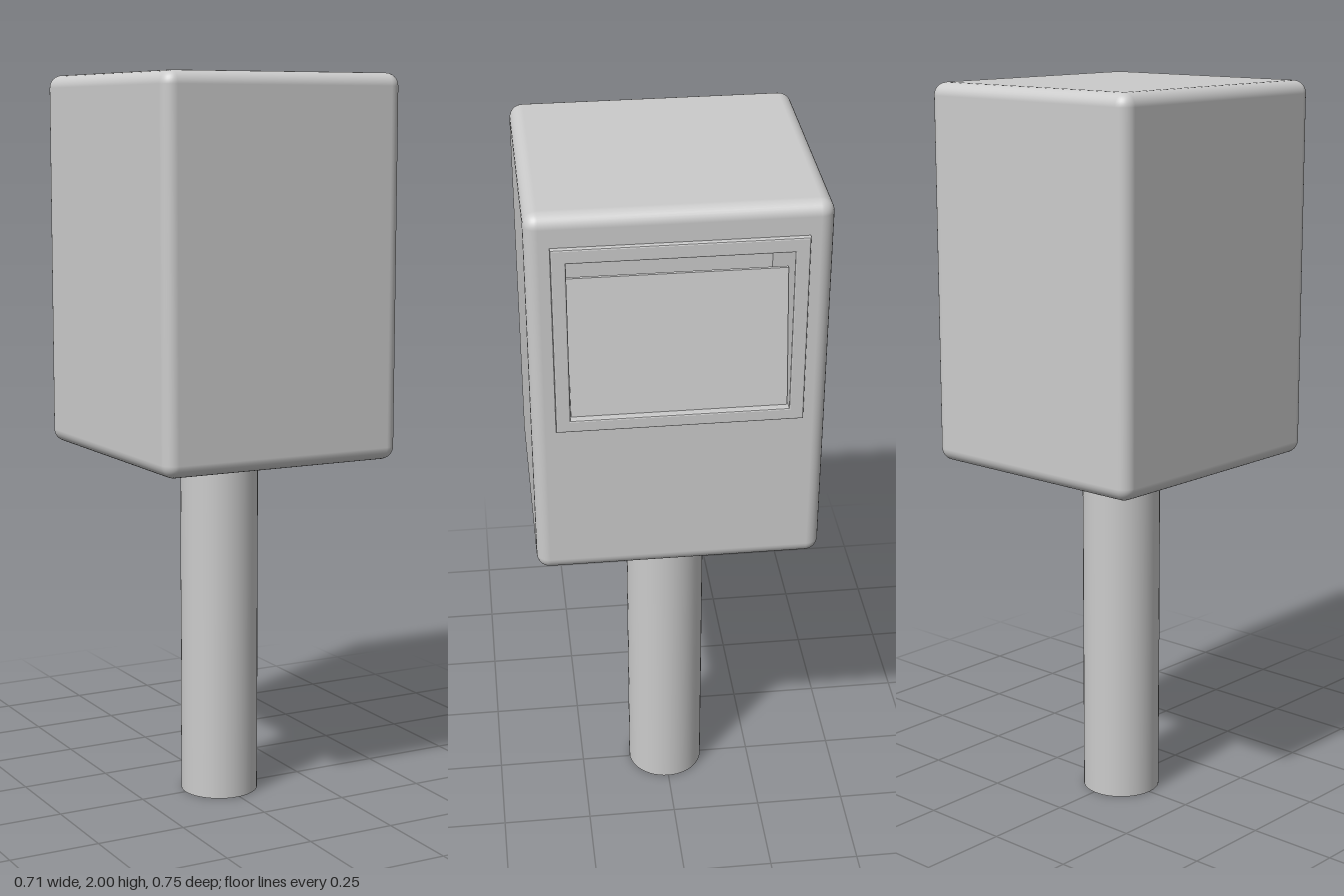
import * as THREE from 'three';
import { RoundedBoxGeometry } from 'three/addons/geometries/RoundedBoxGeometry.js';

const grey = (side = THREE.FrontSide) => new THREE.MeshStandardMaterial({ color: 0xcccccc, side });

// Housing extents and the opening in its +x face
const BACK = -0.355, FACE = 0.34, BOTTOM = 0.975, TOP = 2, HALF_Z = 0.373, R = 0.035;
const HOLE = { half: 0.275, y0: 1.443, y1: 1.88 };

// Rectangle in the (z, y) plane, centred on z = 0
function rect(Kind, half, y0, y1) {
  const p = new Kind();
  p.moveTo(-half, y0);
  p.lineTo(half, y0);
  p.lineTo(half, y1);
  p.lineTo(-half, y1);
  p.closePath();
  return p;
}

function rectWithHole(half, y0, y1, inset = 0) {
  const s = rect(THREE.Shape, half, y0, y1);
  s.holes.push(rect(THREE.Path, HOLE.half + inset, HOLE.y0 - inset, HOLE.y1 + inset));
  return s;
}

// Rounded box without the flat panel of its +x side
function openRoundedBox(w, h, d, r) {
  const geo = new RoundedBoxGeometry(w, h, d, 4, r);
  const pos = geo.attributes.position, keep = [];
  for (let i = 0; i < pos.count; i += 3) {
    const flat = [0, 1, 2].every((k) => pos.getX(i + k) > w / 2 - 1e-4);
    if (!flat) keep.push(i, i + 1, i + 2);
  }
  geo.clearGroups();
  geo.setIndex(keep);
  return geo;
}

export function createModel() {
  const model = new THREE.Group();
  model.name = 'pedestalBin';
  const add = (name, geo, mat = grey()) => {
    const mesh = new THREE.Mesh(geo, mat);
    mesh.name = name;
    model.add(mesh);
    return mesh;
  };

  // Post: open tube
  const post = new THREE.CylinderGeometry(0.108, 0.108, BOTTOM + 0.01, 48, 1, true);
  add('post', post, grey(THREE.DoubleSide)).position.set((BACK + FACE) / 2, (BOTTOM + 0.01) / 2, 0);

  // Housing shell and its pierced side panel
  const shell = openRoundedBox(FACE - BACK, TOP - BOTTOM, HALF_Z * 2, R);
  add('housing', shell).position.set((BACK + FACE) / 2, (BOTTOM + TOP) / 2, 0);
  const panel = new THREE.ShapeGeometry(rectWithHole(HALF_Z - R, BOTTOM + R, TOP - R));
  panel.rotateY(Math.PI / 2);
  add('openingPanel', panel).position.x = FACE;

  // Raised frame around the opening, with softened edges
  const bevel = 0.004;
  const frame = new THREE.ExtrudeGeometry(rectWithHole(0.312 - bevel, 1.41 + bevel, 1.918 - bevel, bevel), {
    depth: 0.013 - bevel, bevelSize: bevel, bevelThickness: bevel, bevelSegments: 2,
  });
  frame.rotateY(Math.PI / 2);
  add('openingFrame', frame).position.x = FACE;

  // Recess behind the opening: box seen from inside, front removed
  const depth = 0.3, height = HOLE.y1 - HOLE.y0;
  const recess = new THREE.BoxGeometry(depth, height, HOLE.half * 2);
  recess.clearGroups();
  recess.setIndex(Array.from(recess.index.array).slice(6));
  add('recess', recess, grey(THREE.BackSide)).position.set(FACE - depth / 2, (HOLE.y0 + HOLE.y1) / 2, 0);

  // Flap: thin plate hinged at the sill, leaning inward
  const flap = new THREE.Shape();
  flap.moveTo(0.333, HOLE.y0);
  flap.lineTo(0.28, 1.803);
  flap.lineTo(0.268, 1.801);
  flap.lineTo(0.321, HOLE.y0);
  flap.closePath();
  const width = HOLE.half * 2 - 0.004;
  const flapGeo = new THREE.ExtrudeGeometry(flap, { depth: width, bevelEnabled: false });
  add('flap', flapGeo).position.z = -width / 2;

  return model;
}
